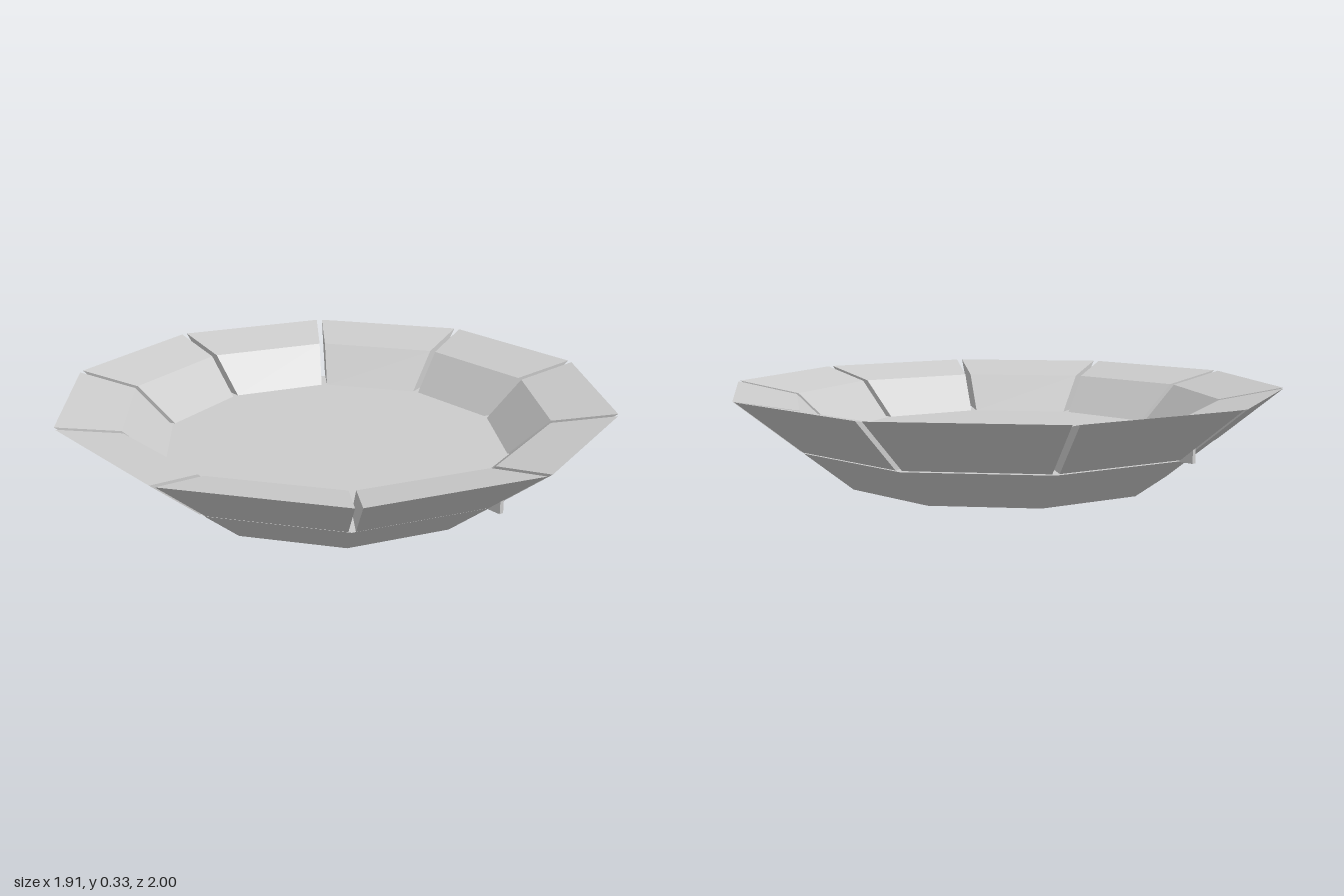
import * as THREE from 'three';

const SIDES = 10;
const HALF = Math.PI / SIDES; // half the angle covered by one side

// One rim segment: a four-point profile swept sideways, mitred to leave a slot
function panelGeometry(gap) {
  const profile = [[0.636, 0.147], [0.78, 0.147], [1.004, 0.33], [0.78, 0.285]];
  const shape = new THREE.Shape(
    profile.map(([r, y]) => new THREE.Vector2(r * Math.cos(HALF), y))
  );
  const geo = new THREE.ExtrudeGeometry(shape, { depth: 1, bevelEnabled: false });
  const pos = geo.attributes.position;
  for (let i = 0; i < pos.count; i++) {
    const halfWidth = pos.getX(i) * Math.tan(HALF) - gap;
    pos.setZ(i, pos.getZ(i) > 0.5 ? halfWidth : -halfWidth);
  }
  geo.computeVertexNormals();
  return geo;
}

export function createModel() {
  const group = new THREE.Group();
  const material = new THREE.MeshStandardMaterial({ color: 0xcccccc, flatShading: true });

  function add(name, geometry, parent = group) {
    const mesh = new THREE.Mesh(geometry, material);
    mesh.name = name;
    parent.add(mesh);
    return mesh;
  }

  // Solid ten-sided base, its top forming the floor of the dish
  add('base', new THREE.CylinderGeometry(0.769, 0.595, 0.141, SIDES)).position.y = 0.0705;

  // Ring of separate wedge panels
  const rim = new THREE.Group();
  rim.name = 'rim';
  group.add(rim);
  const panel = panelGeometry(0.012);
  for (let i = 0; i < SIDES; i++) {
    add('rimPanel', panel, rim).rotation.y = i * 2 * HALF;
  }

  // Small keys in the front and back slots
  for (const side of [1, -1]) {
    add('slotKey', new THREE.BoxGeometry(0.016, 0.1, 0.05)).position.set(0, 0.19, side * 0.795);
  }

  return group;
}
